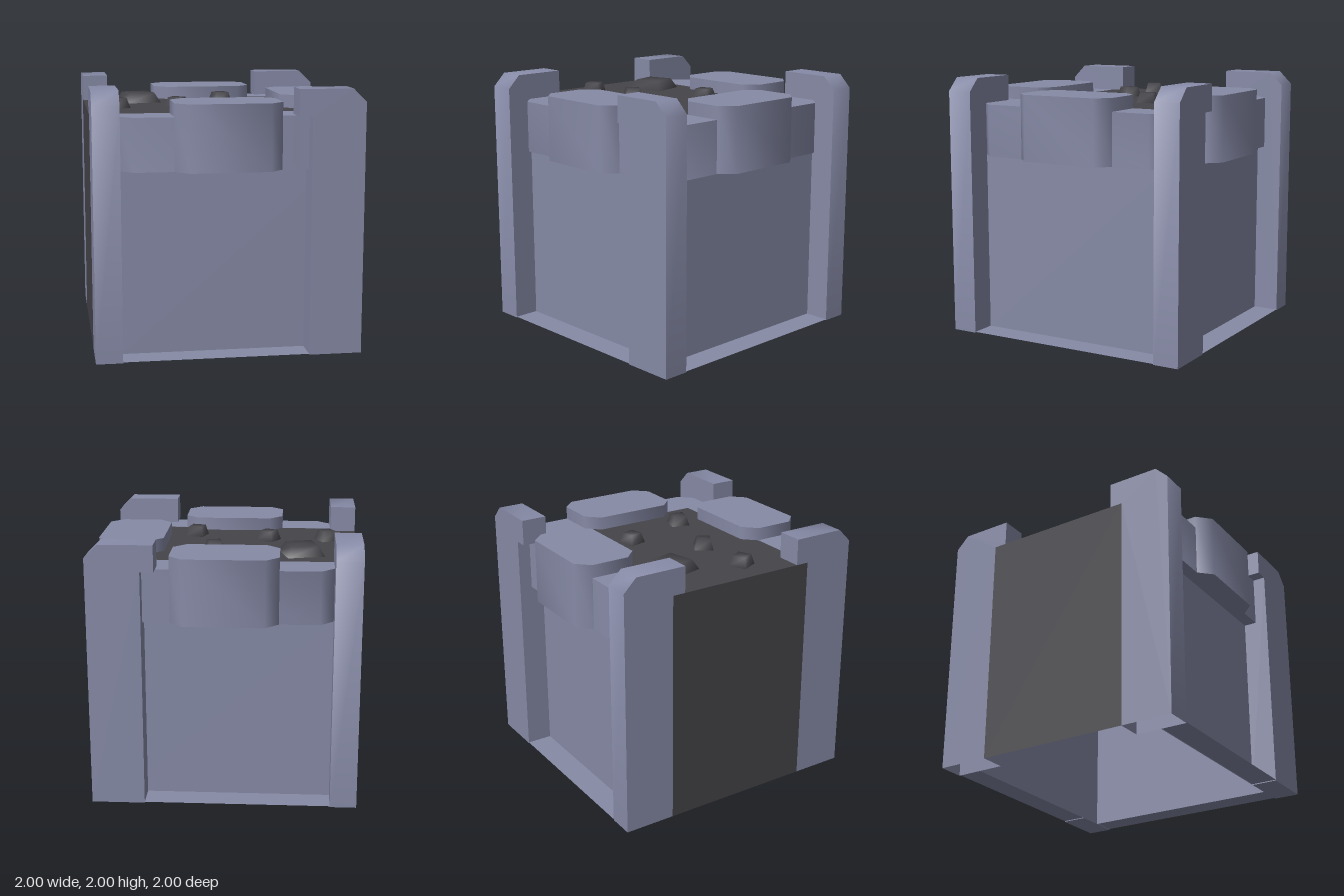
import * as THREE from 'three';
import { toCreasedNormals } from 'three/addons/utils/BufferGeometryUtils.js';

const CREASE = THREE.MathUtils.degToRad(50);

function extrude(points, depth) {
  const shape = new THREE.Shape(points.map(([x, y]) => new THREE.Vector2(x, y)));
  return new THREE.ExtrudeGeometry(shape, { depth, bevelEnabled: false });
}

// Footprint in x and z, raised from y0 to y1
function slab(points, y0, y1) {
  const geo = extrude(points, y1 - y0).rotateX(-Math.PI / 2).translate(0, y0, 0);
  return toCreasedNormals(geo, CREASE);
}

// Removes the triangles lying on the ground
function openBottom(geo) {
  const p = geo.attributes.position, kept = [];
  for (let i = 0; i < p.count; i += 3) {
    if (p.getY(i) + p.getY(i + 1) + p.getY(i + 2) < 1e-6) continue;
    for (let j = i; j < i + 3; j++) kept.push(p.getX(j), p.getY(j), p.getZ(j));
  }
  const out = new THREE.BufferGeometry();
  out.setAttribute('position', new THREE.Float32BufferAttribute(kept, 3));
  return out;
}

export function createModel() {
  const group = new THREE.Group();
  const stone = new THREE.MeshStandardMaterial({ color: 0x868aa6, side: THREE.DoubleSide });
  stone.name = 'blue grey stone';
  const earth = new THREE.MeshStandardMaterial({ color: 0x444449, side: THREE.DoubleSide });
  earth.name = 'dark earth';

  const add = (name, geo, mat) => {
    const mesh = new THREE.Mesh(geo, mat);
    mesh.name = name;
    group.add(mesh);
    return mesh;
  };
  const flat = (w, d, x, y, z) =>
    new THREE.PlaneGeometry(w, d).rotateX(-Math.PI / 2).translate(x, y, z);

  // Corner posts with an inward hook and a chamfered outer top edge
  const profile = [[0.6, 0], [1, 0], [1, 1.9], [0.9, 2], [0.5, 2], [0.5, 1.8], [0.6, 1.8]];
  const post = () => extrude(profile, 0.2);
  const finish = (geo) => toCreasedNormals(geo, CREASE);
  add('frontLeftPost', finish(post().translate(0, 0, 0.8)), stone);
  add('backLeftPost', finish(post().translate(0, 0, -1)), stone);
  add('frontRightPost', finish(openBottom(post()).rotateY(-Math.PI / 2).translate(-0.8, 0, 0)), stone);
  add('backRightPost', finish(openBottom(post()).rotateY(Math.PI / 2).translate(-1, 0, 0)), stone);

  // Recessed wall panels and the ledges at their feet
  for (const [name, s] of [['front', 1], ['back', -1]]) {
    const panel = new THREE.PlaneGeometry(1.6, 1.4);
    if (s < 0) panel.rotateY(Math.PI);
    add(name + 'Panel', panel.translate(0, 0.7, 0.8 * s), stone);
    add(name + 'Ledge', flat(1.4, 0.2, -0.1, 0.007, 0.9 * s), stone);
  }
  add('leftPanel', new THREE.PlaneGeometry(1.6, 1.4).rotateY(Math.PI / 2).translate(0.8, 0.7, 0), stone);
  add('leftLedge', flat(0.2, 1.6, 0.9, 0.007, 0), stone);

  // U-shaped low rail, drawn as one half and mirrored
  const half = [[0.59, 0.6], [-0.8, 0.6], [-0.8, 0.8], [-0.7, 0.9],
    [0.62, 0.9], [0.62, 0.8], [0.8, 0.8], [0.9, 0.7]];
  const mirrored = half.map(([x, z]) => [x, -z]).reverse();
  add('lowRail', slab([...half, ...mirrored], 1.4, 1.8), stone);

  // Raised octagonal blocks in the middle of each side
  const block = () => slab([[-0.3, -0.25], [0.3, -0.25], [0.4, -0.15], [0.4, 0.15],
    [0.3, 0.25], [-0.3, 0.25], [-0.4, 0.15], [-0.4, -0.15]], 1.4, 1.9);
  add('frontBlock', block().translate(0, 0, 0.75), stone);
  add('backBlock', block().translate(0, 0, -0.75), stone);
  add('leftBlock', block().rotateY(Math.PI / 2).translate(0.75, 0, 0), stone);

  // Earth surface and the cut face on the open side
  add('floor', flat(1.59, 1.2, -0.205, 1.799, 0), earth);
  add('openSideWall', new THREE.PlaneGeometry(1.2, 1.8).rotateY(-Math.PI / 2).translate(-1, 0.9, 0), earth);

  // Tapered pebbles: x, z, side length, turn in degrees
  const pebbles = [[-0.56, -0.325, 0.29, 15], [0.11, -0.255, 0.145, 15],
    [-0.295, 0.145, 0.145, -30], [-0.76, 0.165, 0.145, 27], [0.29, 0.3, 0.145, -15]];
  for (const [x, z, side, turn] of pebbles) {
    const r = side / Math.SQRT2;
    const geo = new THREE.CylinderGeometry(r * 0.72, r, 0.077, 4).rotateY(Math.PI / 4);
    geo.deleteAttribute('uv');
    const pebble = add('pebble', toCreasedNormals(geo, Math.PI / 1.9), earth);
    pebble.position.set(x, 1.8375, z);
    pebble.rotation.y = THREE.MathUtils.degToRad(turn);
  }
  return group;
}
